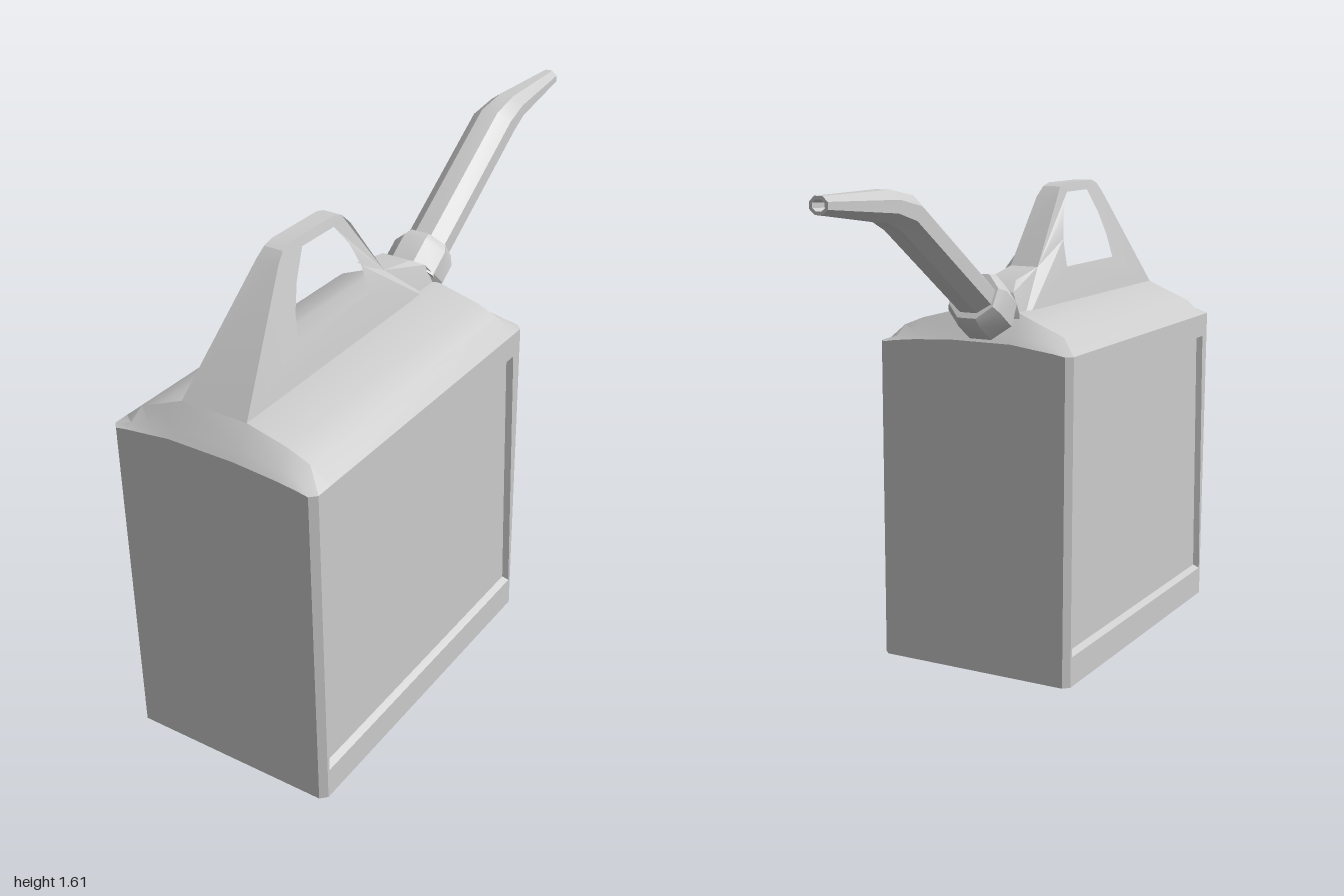
import * as THREE from 'three';
import { toCreasedNormals } from 'three/addons/utils/BufferGeometryUtils.js';

const material = new THREE.MeshStandardMaterial({ color: 0xcccccc });
const CX = -0.028; // handle and spout centre line
const CZ = 0.425;  // body centre in z
const { lerp } = THREE.MathUtils;

function part(name, geometry, crease = 0.5) {
  const mesh = new THREE.Mesh(toCreasedNormals(geometry, crease), material);
  mesh.name = name;
  return mesh;
}

// Skin between rows of [x, y, z] points, rows running towards -z
function loft(rows) {
  const n = rows[0].length, index = [];
  for (let r = 0; r < rows.length - 1; r++) {
    for (let i = 0; i < n - 1; i++) {
      const a = r * n + i, c = a + n;
      index.push(a, a + 1, c, a + 1, c + 1, c);
    }
  }
  const geometry = new THREE.BufferGeometry();
  geometry.setAttribute('position', new THREE.Float32BufferAttribute(rows.flat(2), 3));
  geometry.setIndex(index);
  return geometry;
}

// Octagonal ring: centre (z, y), half sizes across x and upward, tilt in radians
function ring(z, y, hx, hn, tilt) {
  const k = 1 / Math.cos(Math.PI / 8);
  return Array.from({ length: 9 }, (_, i) => {
    const a = (i + 0.5) * Math.PI / 4;
    const n = Math.cos(a) * hn * k;
    return [CX + Math.sin(a) * hx * k, y + n * Math.cos(tilt), z + n * Math.sin(tilt)];
  });
}

// Side outline given as [z, y] pairs, extruded along x
function sideExtrude(outline, hole, depth) {
  const points = (list) => list.map(([z, y]) => new THREE.Vector2(-z, y));
  const shape = new THREE.Shape(points(outline));
  shape.holes.push(new THREE.Path(points(hole)));
  return new THREE.ExtrudeGeometry(shape, { depth, bevelEnabled: false }).rotateY(Math.PI / 2);
}

// Move every vertex by a rule
function reshape(geometry, rule) {
  const p = geometry.attributes.position, v = new THREE.Vector3();
  for (let i = 0; i < p.count; i++) {
    rule(v.fromBufferAttribute(p, i));
    p.setXYZ(i, v.x, v.y, v.z);
  }
  return geometry;
}

// Raised frame around the recessed side panel, with chamfered vertical edges
function sideFrame() {
  const outline = [[0.98, 0], [-0.13, 0], [-0.13, 1.075], [0.98, 1.075]];
  const panel = [[0.97, 0.1], [-0.12, 0.1], [-0.09, 0.995], [0.94, 0.995]];
  const geometry = reshape(sideExtrude(outline, panel, 0.02), (v) => {
    const corner = v.y < 0.01 || v.y > 1.05;
    if (v.x < 0.01 && corner) v.z += 0.02 * Math.sign(v.z - CZ);
    else if (v.x < 0.01) { // sloping walls of the recess
      v.z -= 0.008 * Math.sign(v.z - CZ);
      v.y += v.y < 0.5 ? 0.012 : -0.008;
    }
    v.x += 0.33;
  });
  return part('sidePanelFrame', geometry, 0.3);
}

// Domed shoulder falling away at both ends
function shoulder() {
  const xs = [0.35, 0.29, 0.22, 0.112];
  const full = [1.075, 1.125, 1.153, 1.187], end = [1.075, 1.082, 1.09, 1.1];
  const section = (z, t, edge, flat) => {
    const side = (s) => xs.map((x, i) => [
      i === 0 ? s * edge : i === 3 ? CX + s * x : s * x,
      flat ? 1.07 : lerp(end[i], full[i], t), z]);
    return [...side(-1), ...side(1).reverse()];
  };
  return part('shoulder', loft([
    section(1, 0, 0.33, true), section(1, 0, 0.33), section(0.98, 0.3, 0.35),
    section(0.93, 1, 0.35), section(-0.08, 1, 0.35),
    section(-0.13, 0.3, 0.35), section(-0.15, 0, 0.33), section(-0.15, 0, 0.33, true),
  ]), 0.45);
}

// Handle fin that narrows towards the grip
function handle() {
  const outline = [[0.995, 1.1], [0.93, 1.187], [0.66, 1.53], [0.63, 1.558], [0.595, 1.57],
    [0.38, 1.57], [0.345, 1.56], [0.31, 1.525], [0.15, 1.31], [0, 1.283],
    [-0.055, 1.25], [-0.09, 1.187], [-0.1, 1.1]];
  const hole = [[0.65, 1.3], [0.635, 1.38], [0.6, 1.46], [0.545, 1.54],
    [0.39, 1.54], [0.335, 1.47], [0.3, 1.39], [0.29, 1.3]];
  return part('handle', reshape(sideExtrude(outline, hole, 1), (v) => {
    let half = Math.min(0.112, lerp(0.112, 0.029, (v.y - 1.187) / 0.383));
    if (v.z < 0.2 && v.y > 1.2) half = v.z < -0.03 ? 0.07 : 0.05;
    v.x = CX + (v.x > 0.5 ? half : -half);
  }), 0.4);
}

export function createModel() {
  const model = new THREE.Group();

  // Tank core
  const core = new THREE.BoxGeometry(0.66, 1.075, 1.15).translate(0, 0.5375, CZ);
  model.add(part('tank', core), shoulder(), handle());

  // Frame on each side, the second turned half way round
  for (const turn of [0, Math.PI]) {
    const frame = sideFrame();
    frame.rotation.y = turn;
    frame.position.z = turn ? 2 * CZ : 0;
    model.add(frame);
  }

  // Screw collar, as [distance along axis, radius]
  const tilt = 0.6;
  const along = (s, r) =>
    ring(-0.12 - s * Math.cos(tilt), 1.205 + s * Math.sin(tilt), r, r, tilt);
  const collar = [[-0.13, 0.075], [-0.04, 0.075], [-0.04, 0.093], [0.05, 0.093],
    [0.08, 0.078], [0.08, 0.05]];
  model.add(part('spoutCollar', loft(collar.map(([s, r]) => along(s, r)))));

  // Bent spout with an open tip
  model.add(part('spout', loft([
    ring(-0.12, 1.205, 0.07, 0.058, tilt),
    ring(-0.61, 1.535, 0.07, 0.058, tilt),
    ring(-0.7, 1.56, 0.06, 0.046, 0.2),
    ring(-1, 1.58, 0.03, 0.025, 0),
    ring(-1, 1.58, 0.02, 0.016, 0),
    ring(-0.92, 1.575, 0.02, 0.016, 0),
    ring(-0.92, 1.575, 0, 0, 0),
  ])));
  return model;
}
